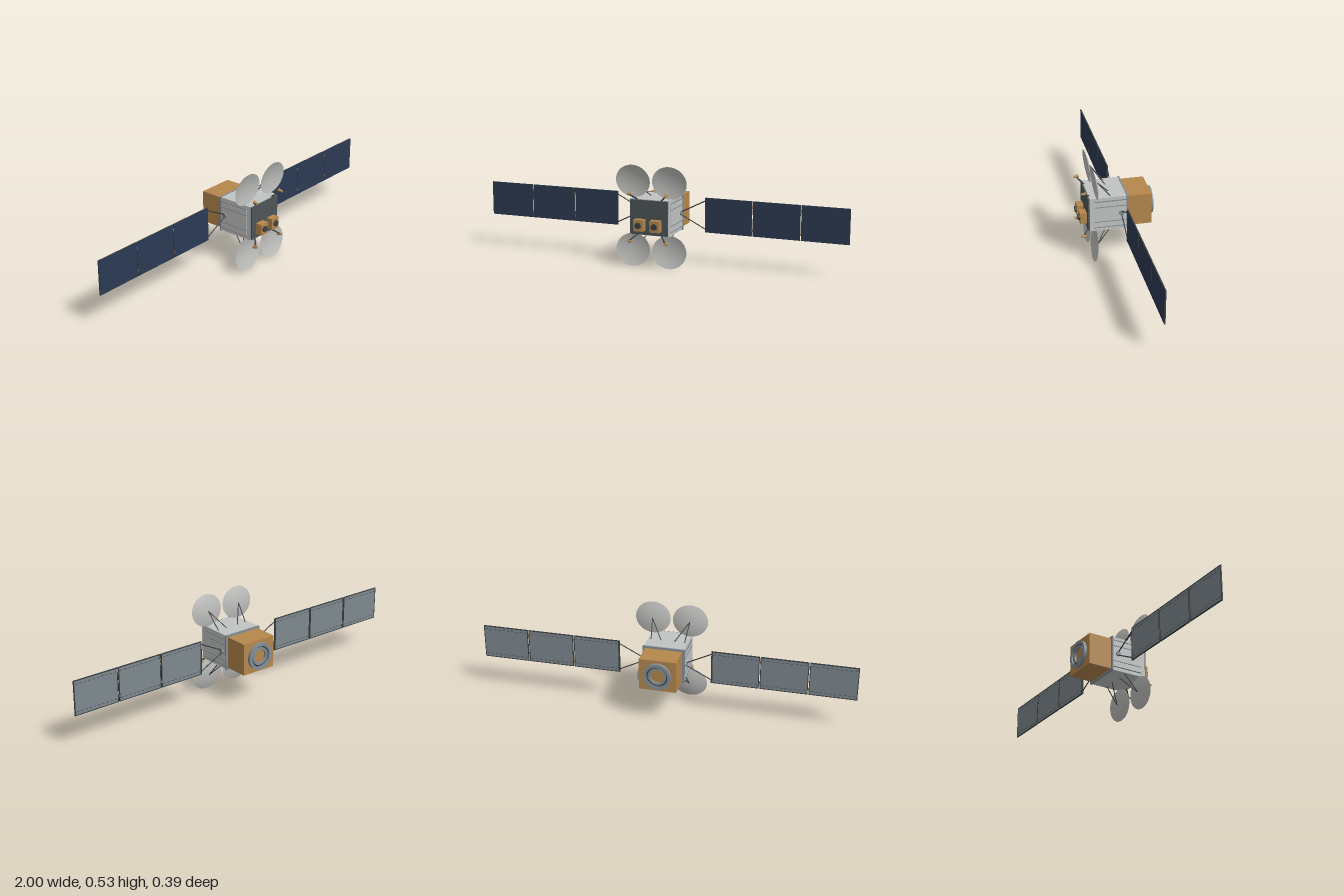
import * as THREE from 'three';

const mat = (name, color, side = THREE.FrontSide) => {
  const m = new THREE.MeshStandardMaterial({ color, side });
  m.name = name;
  return m;
};

export function createModel() {
  const silver = mat('silver body', 0xc2c4c3);
  const dishGrey = mat('dish grey', 0xbcbcba, THREE.DoubleSide);
  const gold = mat('gold foil', 0xb5874c);
  const dark = mat('dark panel', 0x4c5457);
  const strutGrey = mat('strut grey', 0x3c4144);
  const blue = mat('solar blue', 0x2c3a52);
  const backGrey = mat('panel back grey', 0x7e888e);
  const steel = mat('steel', 0x848e95, THREE.DoubleSide);

  const model = new THREE.Group();
  model.name = 'satellite';
  const CY = 0.267; // height of the central axis
  const WZ = -0.0185; // depth of the wing plane

  const add = (name, geo, material, x = 0, y = 0, z = 0, parent = model) => {
    const mesh = new THREE.Mesh(geo, material);
    mesh.name = name;
    mesh.position.set(x, y, z);
    parent.add(mesh);
    return mesh;
  };
  const box = (name, w, h, d, material, x, y, z, parent) =>
    add(name, new THREE.BoxGeometry(w, h, d), material, x, y, z, parent);
  // tapered rod from point a (radius ra) to point b (radius rb)
  const rod = (name, a, b, ra, rb, material, sides = 8) => {
    const p = new THREE.Vector3(...a), q = new THREE.Vector3(...b);
    const dir = q.clone().sub(p);
    const mesh = add(name, new THREE.CylinderGeometry(rb, ra, dir.length(), sides), material);
    mesh.position.copy(p).add(q).multiplyScalar(0.5);
    mesh.quaternion.setFromUnitVectors(new THREE.Vector3(0, 1, 0), dir.normalize());
    return mesh;
  };
  // ring whose section is given by inner and outer radius, facing along z
  const ring = (name, inner, outer, z0, z1, material) => {
    const pts = [[inner, z0], [outer, z0], [outer, z1], [inner, z1], [inner, z0]];
    // duplicated corners keep the edges sharp
    const profile = pts.flatMap(([r, z], i) =>
      (i === 0 || i === 4 ? [0] : [0, 1e-5]).map((e) => new THREE.Vector2(r, z + e)));
    const geo = new THREE.LatheGeometry(profile, 40);
    geo.rotateX(Math.PI / 2);
    return add(name, geo, material, 0, CY, 0);
  };

  // Main body
  box('body', 0.214, 0.187, 0.197, silver, 0, CY, 0.0485);
  box('frontPanel', 0.206, 0.18, 0.008, dark, 0, CY, 0.151);
  box('rearFlange', 0.222, 0.192, 0.008, steel, 0, CY, -0.049);
  box('propulsionBox', 0.196, 0.17, 0.128, gold, 0, CY, -0.116);

  // Rear adapter ring with nested nozzle
  ring('adapterRing', 0.056, 0.072, -0.197, -0.178, steel);
  ring('innerRing', 0.048, 0.056, -0.188, -0.178, strutGrey);
  ring('nozzleRing', 0.036, 0.048, -0.192, -0.178, steel);

  for (const s of [-1, 1]) {
    // Side radiators: raised plate crossed by ribs
    box('radiator', 0.004, 0.15, 0.17, silver, s * 0.108, CY, 0.038);
    for (const dy of [-0.074, -0.042, 0.042, 0.074])
      box('radiatorRib', 0.008, 0.003, 0.17, backGrey, s * 0.109, CY + dy, 0.038);

    // Front sensors
    box('sensorBox', 0.052, 0.06, 0.036, gold, s * 0.044, 0.23, 0.172);
    const lens = add('sensorLens', new THREE.CylinderGeometry(0.016, 0.016, 0.01, 24), strutGrey, s * 0.044, 0.23, 0.193);
    lens.rotation.x = Math.PI / 2;

    // Wing hub and yoke
    rod('wingHub', [s * 0.105, CY, WZ], [s * 0.118, CY, WZ], 0.013, 0.013, steel, 20);
    for (const v of [-1, 1])
      rod('yokeArm', [s * 0.114, CY + v * 0.008, WZ], [s * 0.248, CY + v * 0.076, WZ], 0.003, 0.003, strutGrey);
    box('yokeBar', 0.004, 0.182, 0.006, strutGrey, s * 0.246, CY, WZ);

    // Solar wing: three panels, blue in front and grey behind
    const wing = new THREE.Group();
    wing.name = s > 0 ? 'leftWing' : 'rightWing';
    model.add(wing);
    const faces = [strutGrey, strutGrey, strutGrey, strutGrey, blue, backGrey];
    for (let i = 0; i < 3; i++) {
      const x = s * (0.3715 + i * 0.252);
      box('solarPanel', 0.247, 0.182, 0.005, faces, x, CY, WZ, wing);
      for (const v of [-1, 1]) {
        box('panelRim', 0.247, 0.004, 0.002, strutGrey, x, CY + v * 0.089, WZ - 0.003, wing);
        for (let k = 0; k < 10; k++)
          box('wiringDash', 0.012, 0.0025, 0.001, strutGrey, x + (k - 4.5) * 0.024, CY + v * 0.072, WZ - 0.0028, wing);
        if (i < 2)
          box('hinge', 0.006, 0.014, 0.004, gold, s * (0.4975 + i * 0.252), CY + v * 0.06, WZ, wing);
        box('panelEndRim', 0.004, 0.182, 0.002, strutGrey, x + v * 0.1215, CY, WZ - 0.003, wing);
      }
    }

    // Four dishes with supports and feed horns
    for (const v of [-1, 1]) {
      const profile = [];
      for (let i = 0; i <= 8; i++) {
        const t = i / 8;
        profile.push(new THREE.Vector2(0.094 * t, 0.0145 * (t * t - 1)));
      }
      const geo = new THREE.LatheGeometry(profile, 40);
      geo.rotateX(Math.PI / 2);
      geo.scale(1, 0.91, 1);
      geo.rotateX(v * 0.112);
      add('dish', geo, dishGrey, s * 0.1, CY + v * 0.18, 0.1225);
      for (const bx of [0.09, 0.035])
        rod('dishStrut', [s * bx, CY + v * 0.092, 0.036], [s * 0.1, CY + v * 0.18, 0.106], 0.0025, 0.0025, strutGrey);
      rod('feedArm', [s * 0.064, CY + v * 0.09, 0.142], [s * 0.098, CY + v * 0.12, 0.176], 0.004, 0.004, strutGrey);
      rod('feedHorn', [s * 0.1, CY + v * 0.122, 0.19], [s * 0.1, CY + v * 0.125, 0.165], 0.005, 0.009, gold, 16);
    }
  }
  return model;
}
